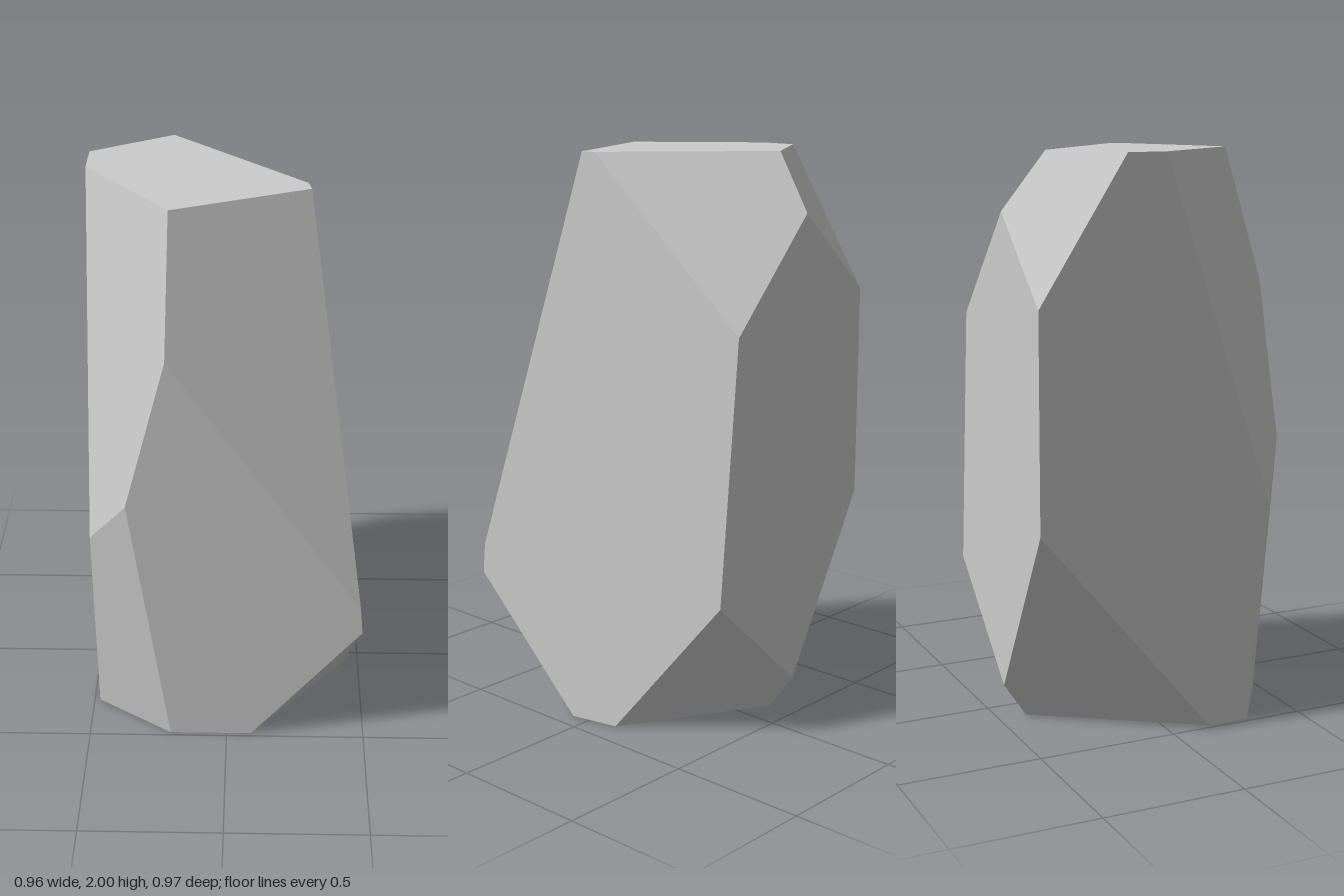
import * as THREE from 'three';
import { ConvexGeometry } from 'three/addons/geometries/ConvexGeometry.js';

const X = 0.48, Z = 0.485, H = 2;

// Plane through three points, facing away from the middle of the rock
function cut(a, b, c) {
  const plane = new THREE.Plane().setFromCoplanarPoints(
    new THREE.Vector3(...a), new THREE.Vector3(...b), new THREE.Vector3(...c));
  return plane.distanceToPoint(new THREE.Vector3(0, 1, 0)) > 0 ? plane.negate() : plane;
}

// Corner where three planes meet, or null if they do not
function corner(p, q, r) {
  const qr = q.normal.clone().cross(r.normal);
  const det = p.normal.dot(qr);
  if (Math.abs(det) < 1e-5) return null;
  return qr.multiplyScalar(-p.constant)
    .addScaledVector(r.normal.clone().cross(p.normal), -q.constant)
    .addScaledVector(p.normal.clone().cross(q.normal), -r.constant)
    .divideScalar(det);
}

// All corners of the solid enclosed by the planes
function solidCorners(planes) {
  const points = [];
  for (let i = 0; i < planes.length; i++)
    for (let j = i + 1; j < planes.length; j++)
      for (let k = j + 1; k < planes.length; k++) {
        const v = corner(planes[i], planes[j], planes[k]);
        if (v && planes.every((p) => p.distanceToPoint(v) < 1e-5) &&
            !points.some((o) => o.distanceTo(v) < 1e-4)) points.push(v);
      }
  return points;
}

export function createModel() {
  const side = (x, y, z, d) => new THREE.Plane(new THREE.Vector3(x, y, z), -d);
  const planes = [
    // the uncut block
    side(-1, 0, 0, X), side(1, 0, 0, X), side(0, -1, 0, 0),
    side(0, 1, 0, H), side(0, 0, 1, Z), side(0, 0, -1, Z),
    // sloping +x flank
    cut([0.272, 2, 0.155], [0.435, 0, 0.07], [0.19, 1.42, -Z]),
    // upper front
    cut([-0.186, 2, 0.345], [0.272, 2, 0.155], [-0.197, 1.53, Z]),
    // front corner on the -x side, upper and lower
    cut([-0.186, 2, 0.345], [-X, 2, -0.03], [-0.343, 0.98, Z]),
    cut([-0.343, 0.98, Z], [-0.205, 0, Z], [-X, 0.77, 0.375]),
    // upper back, both sides
    cut([-0.197, 2, -0.338], [-X, 2, -0.17], [-0.165, 1.8, -Z]),
    cut([-0.197, 2, -0.338], [0.262, 2, 0.105], [0.19, 1.42, -Z]),
    // lower front corner
    cut([0.477, 0.46, Z], [0.09, 0, Z], [0.435, 0, 0.07]),
    // lower back, both sides
    cut([0.275, 0.5, -Z], [0.4, 0, -0.105], [-0.13, 0.13, -Z]),
    cut([-X, 0.76, -Z], [-X, 0, 0.15], [-0.13, 0.13, -Z]),
  ];

  const rock = new THREE.Mesh(
    new ConvexGeometry(solidCorners(planes)),
    new THREE.MeshStandardMaterial({ color: 0xcccccc, flatShading: true }));
  rock.name = 'rock';

  const group = new THREE.Group();
  group.name = 'facetedRock';
  group.add(rock);
  return group;
}
